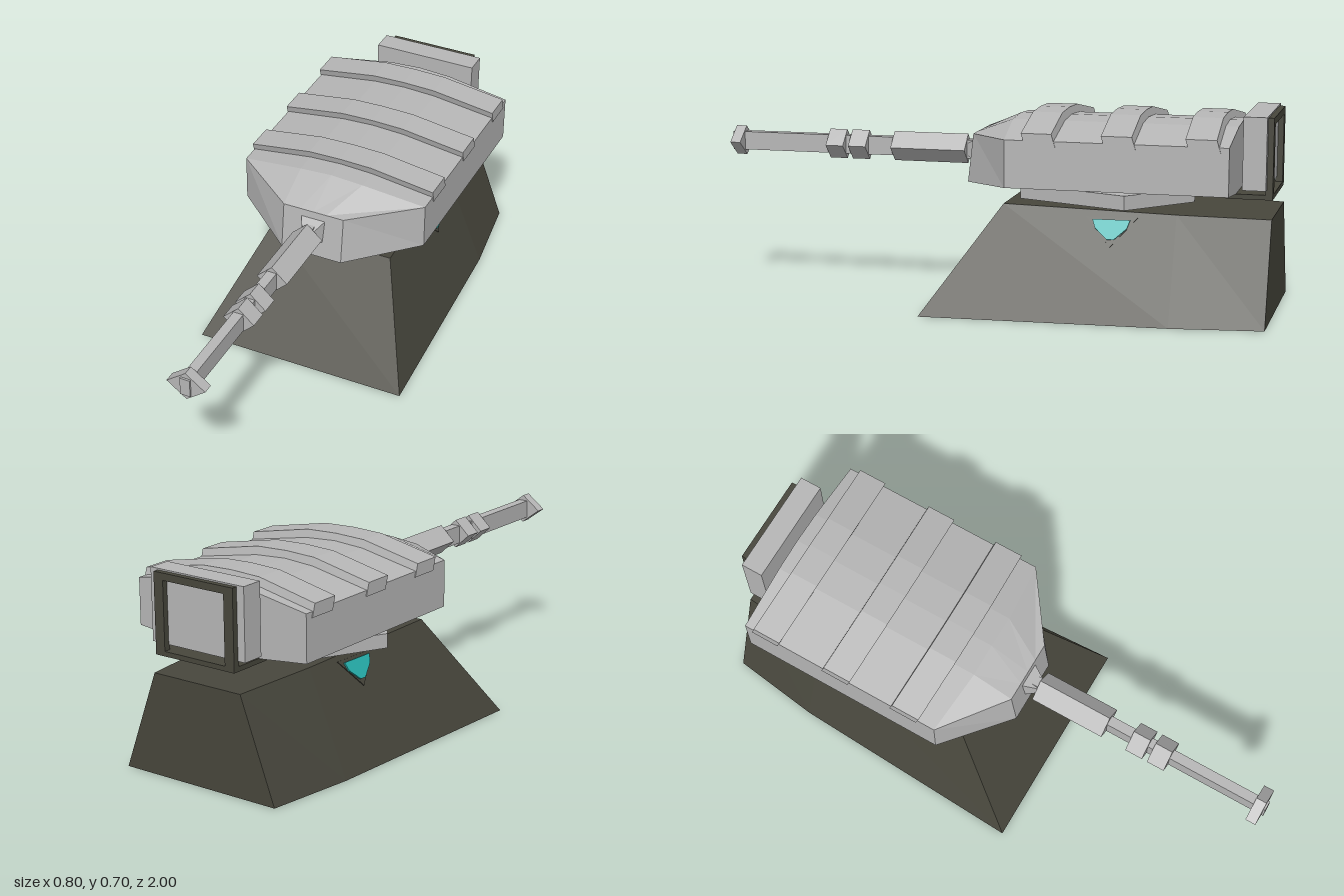
import * as THREE from 'three';

const material = (name, color) => {
  const m = new THREE.MeshStandardMaterial({ color, flatShading: true, side: THREE.DoubleSide });
  m.name = name;
  return m;
};

// Joins cross-sections (clockwise seen from +z, listed front to back); skip leaves one side open.
function loft(sections, skip = -1) {
  const out = [];
  const n = sections[0].length;
  const tri = (...pts) => pts.forEach((p) => out.push(...p));
  for (let s = 0; s < sections.length - 1; s++) {
    const a = sections[s], b = sections[s + 1];
    for (let i = 0; i < n; i++) {
      if (i === skip) continue;
      const j = (i + 1) % n;
      tri(a[i], a[j], b[j]);
      tri(a[i], b[j], b[i]);
    }
  }
  const front = sections[0], back = sections[sections.length - 1];
  for (let i = 1; i < n - 1; i++) {
    tri(front[0], front[i + 1], front[i]);
    tri(back[0], back[i], back[i + 1]);
  }
  const g = new THREE.BufferGeometry();
  g.setAttribute('position', new THREE.Float32BufferAttribute(out, 3));
  g.computeVertexNormals();
  return g;
}

function plate(points, depth) {
  const shape = new THREE.Shape(points.map(([x, y]) => new THREE.Vector2(x, y)));
  return new THREE.ExtrudeGeometry(shape, { depth, bevelEnabled: false });
}

export function createModel() {
  const model = new THREE.Group();
  const grey = material('light grey', 0xb6b6b6);
  const dark = material('dark olive', 0x47463c);
  const teal = material('teal', 0x27b4b0);

  const add = (name, geometry, mat, parent = model) => {
    const mesh = new THREE.Mesh(geometry, mat);
    mesh.name = name;
    parent.add(mesh);
    return mesh;
  };
  const box = (name, mat, x0, x1, y0, y1, z0, z1, parent) =>
    add(name, new THREE.BoxGeometry(x1 - x0, y1 - y0, z1 - z0), mat, parent)
      .position.set((x0 + x1) / 2, (y0 + y1) / 2, (z0 + z1) / 2);

  // Sloping pedestal, open underneath
  const baseSection = (top, topY, topZ, bottom, bottomZ) => [
    [-top, topY, topZ], [top, topY, topZ], [bottom, 0, bottomZ], [-bottom, 0, bottomZ],
  ];
  add('pedestal', loft([
    baseSection(0.235, 0.38, -0.08, 0.398, 0.185),
    baseSection(0.208, 0.362, -0.68, 0.355, -0.68),
    baseSection(0.18, 0.355, -1, 0.312, -1),
  ], 2), dark);

  // Side lamps set on the pedestal slopes
  for (const s of [-1, 1]) {
    const lamp = new THREE.Group();
    lamp.name = s > 0 ? 'leftLamp' : 'rightLamp';
    lamp.position.set(s * 0.242, 0.3, -0.46);
    lamp.rotation.order = 'YXZ';
    lamp.rotation.set(-0.39, s * (Math.PI / 2 + 0.05), 0);
    add('lampFrame', plate([[-0.09, 0.05], [0, -0.055], [0.09, 0.05]], 0.012), dark, lamp).position.z = -0.006;
    add('lampGlass', plate([[-0.065, 0.04], [-0.055, 0.01], [-0.012, -0.03], [0.012, -0.03],
      [0.055, 0.01], [0.065, 0.04]], 0.009), teal, lamp).position.z = 0.003;
    model.add(lamp);
  }

  // Irregular turning ring
  const ring = plate([[-0.065, 0.09], [0.15, 0.12], [0.295, 0.515], [0.07, 0.72],
    [-0.2, 0.68], [-0.335, 0.42]], 0.05);
  ring.rotateX(-Math.PI / 2);
  add('turretRing', ring, grey).position.y = 0.385;

  // Faceted turret with a narrowed nose
  const hull = [[-0.35, 0.62], [-0.12, 0.66], [0, 0.667], [0.12, 0.66], [0.35, 0.62],
    [0.35, 0.455], [0.11, 0.43], [-0.11, 0.43], [-0.35, 0.455]];
  const nose = [[-0.115, 0.602, 0.06], [-0.05, 0.602, 0.06], [0, 0.602, 0.06], [0.05, 0.602, 0.06],
    [0.115, 0.602, 0.06], [0.115, 0.43, 0.08], [0.1, 0.43, 0.08], [-0.1, 0.43, 0.08], [-0.115, 0.43, 0.08]];
  add('turretBody', loft([
    nose,
    hull.map(([x, y]) => [x, y, Math.abs(x) < 0.2 && y > 0.6 ? -0.085 : -0.11]),
    hull.map(([x, y]) => [x, y, -0.875]),
  ]), grey);

  // Raised roof bands with slanted ends
  const arch = [[-0.353, 0.6], [-0.353, 0.645], [-0.12, 0.688], [0, 0.692],
    [0.12, 0.688], [0.353, 0.645], [0.353, 0.6]];
  for (const z of [-0.155, -0.43, -0.715]) {
    const cut = (z0) => arch.map(([x, y]) => [x, y, z0 - (0.692 - y) * 0.3]);
    add('roofBand', loft([cut(z), cut(z - 0.105)]), grey);
  }

  // Gun: flat barrel with diamond sleeves
  const gun = new THREE.Group();
  gun.name = 'gun';
  gun.position.y = 0.53;
  model.add(gun);
  box('barrel', grey, -0.018, 0.018, -0.033, 0.033, 0.05, 1, gun);
  const sleeve = (name, w, h, z0, z1) =>
    add(name, plate([[w, 0], [0, h], [-w, 0], [0, -h]], z1 - z0), grey, gun).position.z = z0;
  sleeve('barrelSleeve', 0.057, 0.053, 0.11, 0.385);
  sleeve('rearCollar', 0.057, 0.053, 0.48, 0.545);
  sleeve('frontCollar', 0.057, 0.053, 0.565, 0.63);
  sleeve('muzzle', 0.07, 0.053, 0.955, 0.993);
  const mount = new THREE.CylinderGeometry(0.025, 0.07, 0.06, 4);
  mount.rotateY(Math.PI / 4);
  mount.rotateX(Math.PI / 2);
  add('gunMount', mount, grey, gun).position.z = 0.085;

  // Rear stowage box held in a dark frame
  box('stowageBox', grey, -0.187, 0.2, 0.455, 0.705, -0.98, -0.9);
  box('rackFloor', dark, -0.158, 0.17, 0.42, 0.437, -1, -0.84);
  box('rackTopBar', dark, -0.158, 0.17, 0.675, 0.7, -1, -0.975);
  for (const x of [-0.158, 0.132]) box('rackPost', dark, x, x + 0.038, 0.42, 0.7, -1, -0.975);

  return model;
}
